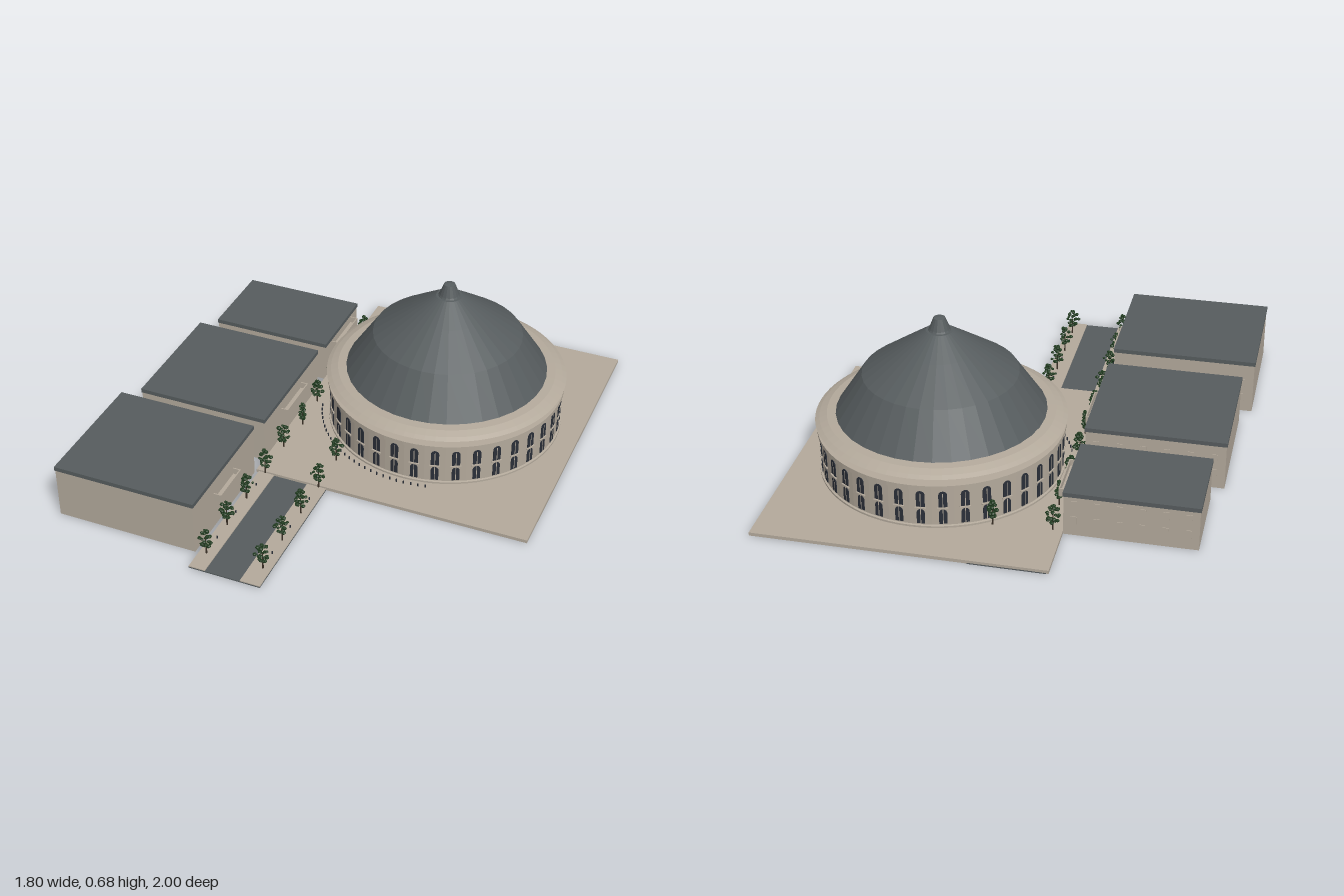
import * as THREE from 'three';
import { mergeGeometries } from 'three/addons/utils/BufferGeometryUtils.js';

const mat = (name, color) => {
  const m = new THREE.MeshStandardMaterial({ color, side: THREE.DoubleSide });
  m.name = name;
  return m;
};

export function createModel() {
  const model = new THREE.Group();
  const stone = mat('stone', 0xb3a99b);
  const slate = mat('slate', 0x565c5e);
  const glass = mat('darkGlass', 0x2a2f38);
  const leaf = mat('leaf', 0x1f3a1e);
  const bark = mat('bark', 0x3a3026);

  const add = (name, geo, material, parent = model) => {
    const mesh = new THREE.Mesh(geo, material);
    mesh.name = name;
    parent.add(mesh);
    return mesh;
  };
  // box from its minimum and maximum corners
  const block = (x0, x1, y0, y1, z0, z1) =>
    new THREE.BoxGeometry(x1 - x0, y1 - y0, z1 - z0)
      .translate((x0 + x1) / 2, (y0 + y1) / 2, (z0 + z1) / 2);
  // faceted surface of revolution
  const turned = (pts, sides) => {
    const g = new THREE.LatheGeometry(pts.map(p => new THREE.Vector2(...p)), sides).toNonIndexed();
    g.computeVertexNormals();
    return g;
  };
  let seed = 7;
  const rand = () => (seed = (seed * 16807) % 2147483647) / 2147483647;

  // ground: road bed, pavements and plaza
  add('road', block(-0.27, 0.035, 0, 0.005, -1, 1), slate);
  add('pavementRight', block(-0.27, -0.2, 0.004, 0.009, 0.36, 1), stone);
  add('pavementLeft', block(-0.05, 0.035, 0.004, 0.009, 0.36, 1), stone);
  add('plaza', block(-0.28, 0.9, 0.002, 0.016, -1, 0.36), stone);

  // round hall
  const hall = new THREE.Group();
  hall.name = 'roundHall';
  hall.position.set(0.305, 0, -0.323);
  model.add(hall);
  add('drum', turned([[0.505, 0.01], [0.505, 0.024], [0.497, 0.026], [0.497, 0.185],
    [0.507, 0.19], [0.507, 0.208], [0, 0.208]], 72), stone, hall);
  add('eave', turned([[0, 0.236], [0.505, 0.236], [0.513, 0.241], [0.495, 0.251],
    [0.465, 0.263], [0.42, 0.266]], 72), stone, hall);
  add('dome', turned([[0.43, 0.264], [0.317, 0.434], [0.16, 0.545], [0.055, 0.618], [0, 0.622]], 36), slate, hall);
  add('lantern', turned([[0.047, 0.617], [0.042, 0.625], [0.024, 0.672], [0, 0.676]], 16), slate, hall);

  // two tiers of arched windows around the drum
  const arched = (w, y0, y1) => {
    const s = new THREE.Shape();
    s.moveTo(-w / 2, y0);
    s.lineTo(w / 2, y0);
    s.lineTo(w / 2, y1 - w / 2);
    s.absarc(0, y1 - w / 2, w / 2, 0, Math.PI, false);
    s.closePath();
    return new THREE.ExtrudeGeometry(s, { depth: 0.004, bevelEnabled: false, curveSegments: 5 });
  };
  const windows = [], sills = [];
  const count = 36;
  for (let i = 0; i < count; i++) {
    const a = (i + 0.5) / count * Math.PI * 2;
    for (const [w, y0, y1] of [[0.034, 0.108, 0.178], [0.032, 0.032, 0.096]])
      windows.push(arched(w, y0, y1).translate(0, 0, 0.4955).rotateY(a));
    sills.push(block(-0.022, 0.022, 0.1, 0.105, 0.49, 0.503).rotateY(a));
    sills.push(block(-0.0015, 0.0015, 0.032, 0.17, 0.495, 0.5).rotateY(a));
  }
  add('archedWindows', mergeGeometries(windows), glass, hall);
  add('sillsAndMullions', mergeGeometries(sills), stone, hall);

  // ring of bollards on the street side of the hall
  const posts = [];
  for (let i = 0; i < 26; i++) {
    const a = 0.2 - i * 0.058;
    posts.push(new THREE.CylinderGeometry(0.003, 0.003, 0.014, 6)
      .translate(Math.sin(a) * 0.535, 0.022, Math.cos(a) * 0.535));
  }
  add('bollards', mergeGeometries(posts), glass, hall);

  // three flat-roofed blocks; the last pair is the z range of the balcony
  const blocks = [
    ['frontBlock', -0.9, -0.285, 0.36, 0.91, 0.24, 0.55, 0.73],
    ['middleBlock', -0.855, -0.277, -0.28, 0.275, 0.213, -0.1, 0.11],
    ['backBlock', -0.81, -0.277, -0.73, -0.365, 0.19, -0.66, -0.44],
  ];
  for (const [name, x0, x1, z0, z1, h, b0, b1] of blocks) {
    const g = new THREE.Group();
    g.name = name;
    model.add(g);
    const t = 0.003;
    add('walls', block(x0 + t, x1 - t, 0, h - 0.018, z0 + t, z1 - t), stone, g);
    add('flatRoof', block(x0, x1, h - 0.018, h, z0, z1), slate, g);
    const out = x1 + 0.03;
    add('balconyFloor', block(x1 - t, out, 0.125, 0.133, b0, b1), stone, g);
    add('balconyFront', block(out - 0.005, out, 0.13, 0.16, b0, b1), stone, g);
    for (const z of [b0, b1 - 0.005])
      add('balconySide', block(x1 - t, out, 0.13, 0.16, z, z + 0.005), stone, g);
    // shallow window surrounds on the rear wall
    const trims = [];
    for (let i = 0; i < 6; i++)
      for (const y of [0.05, 0.12]) {
        const x = x0 + (x1 - x0) * (i + 0.5) / 6;
        trims.push(block(x - 0.012, x + 0.012, y, y + 0.035, z0, z0 + 0.005));
      }
    add('windowSurrounds', mergeGeometries(trims), stone, g);
  }

  // trees: thin trunk with a loose crown of small leaf clumps
  const tree = (x, z, size) => {
    const g = new THREE.Group();
    g.name = 'tree';
    g.position.set(x, 0.005, z);
    model.add(g);
    add('trunk', new THREE.CylinderGeometry(0.002, 0.004, 0.08, 6).translate(0, 0.04, 0), bark, g);
    const clumps = [];
    for (let i = 0; i < 22; i++) {
      const t = (i + 0.5) / 22, a = i * 2.4;
      const r = 0.03 * size * Math.sin(Math.PI * (0.12 + 0.8 * t)) * (0.35 + 0.65 * rand());
      clumps.push(new THREE.IcosahedronGeometry(0.006 + 0.005 * rand(), 0)
        .scale(1, 0.8, 1)
        .rotateY(a)
        .translate(Math.cos(a) * r, 0.04 + 0.08 * t, Math.sin(a) * r));
    }
    add('crown', mergeGeometries(clumps), leaf, g);
  };
  for (const z of [-0.73, -0.36, -0.18, 0.175, 0.36, 0.54, 0.72, 0.905]) tree(-0.24, z, 1);
  for (const z of [-0.555, 0]) tree(-0.23, z, 0.5);
  tree(-0.005, -0.745, 0.6);
  for (const z of [0.175, 0.36, 0.54, 0.72, 0.9]) tree(0.002, z, 1);

  // small posts between the street trees
  for (const x of [-0.24, 0])
    for (const z of [0.45, 0.64, 0.81])
      add('post', new THREE.CylinderGeometry(0.003, 0.003, 0.012, 6).translate(x, 0.014, z), glass);

  return model;
}
